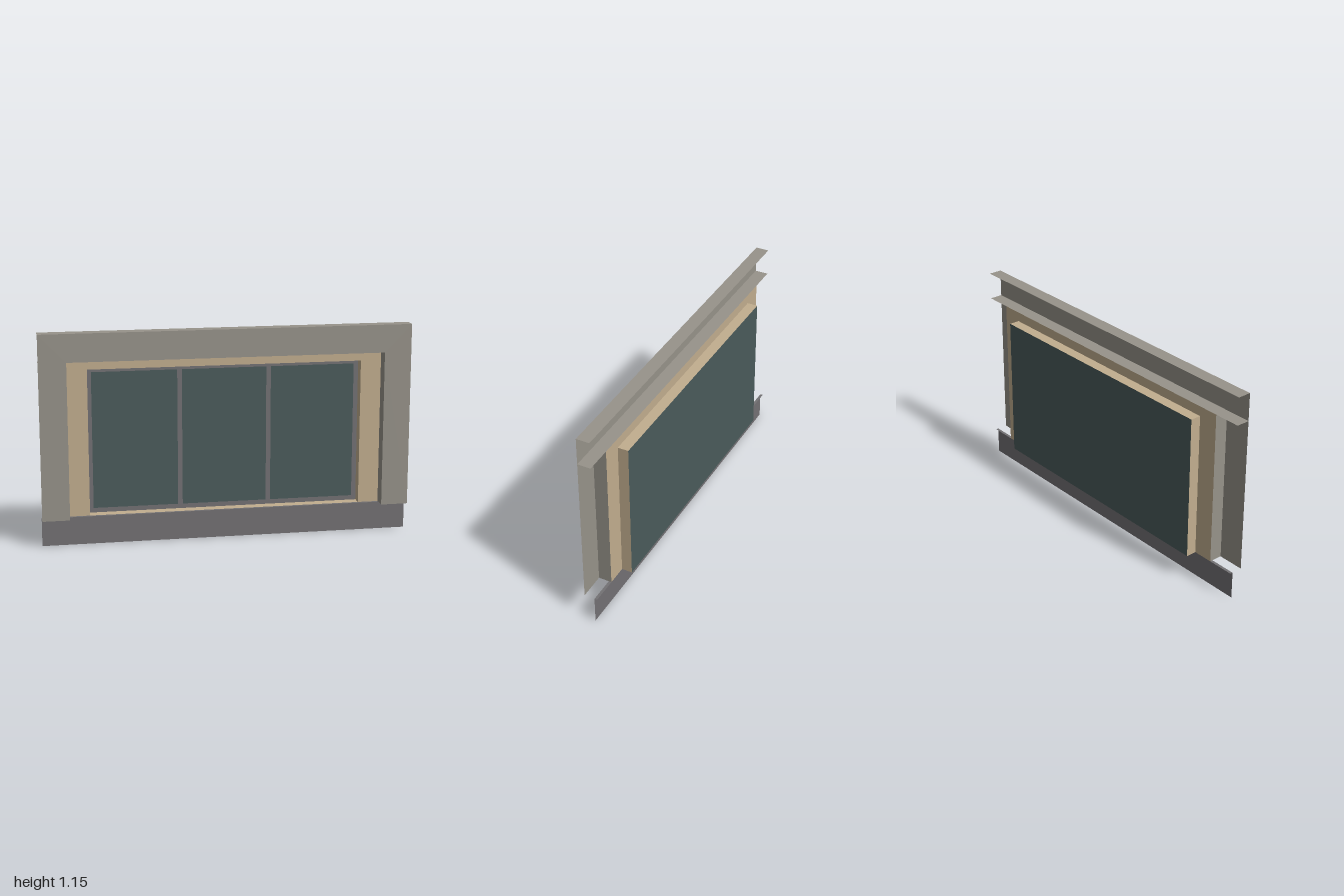
import * as THREE from 'three';

const material = (name, color) => {
  const m = new THREE.MeshStandardMaterial({ color, side: THREE.DoubleSide });
  m.name = name;
  return m;
};

export function createModel() {
  const group = new THREE.Group();
  const wall = material('warm grey wall', 0x97938a);
  const lining = material('beige lining', 0xc2ae8f);
  const trim = material('dark grey trim', 0x737174);
  const glass = material('window glass', 0x4a5b5b);

  // Depth planes, heights and half widths
  const front = 0.0655, mid = -0.0075, back = -0.0655, baseZ = 0.008;
  const sill = 0.152, head = 1.0, top = 1.151, paneTop = 0.947;
  const outer = 1, opening = 0.853, pane = 0.741;

  const add = (name, geometry, mat) => {
    const mesh = new THREE.Mesh(geometry, mat);
    mesh.name = name;
    group.add(mesh);
    return mesh;
  };

  // Upright sheet in the xy plane with an outline and optional holes
  const outline = (pts) => pts.map(([x, y]) => new THREE.Vector2(x, y));
  const rect = (x0, x1, y0, y1) => [[x0, y0], [x1, y0], [x1, y1], [x0, y1]];
  const sheet = (name, pts, z, mat, holes = []) => {
    const shape = new THREE.Shape(outline(pts));
    shape.holes = holes.map((h) => new THREE.Path(outline(h).reverse()));
    return add(name, new THREE.ShapeGeometry(shape).translate(0, 0, z), mat);
  };

  // Portal outline: two legs joined by a header
  const portal = (w, h, iw, ih) => [
    [-w, sill], [-iw, sill], [-iw, ih], [iw, ih],
    [iw, sill], [w, sill], [w, h], [-w, h],
  ];

  // Level sheet facing up
  const ledge = (name, halfWidth, y, z0, z1, mat) => add(name,
    new THREE.PlaneGeometry(halfWidth * 2, z0 - z1)
      .rotateX(-Math.PI / 2).translate(0, y, (z0 + z1) / 2), mat);

  // Mirrored pair of reveals, each facing the middle
  const reveals = (name, x, y1, z0, z1, mat) => {
    for (const side of [-1, 1]) {
      add(name + (side > 0 ? 'Left' : 'Right'),
        new THREE.PlaneGeometry(z0 - z1, y1 - sill)
          .rotateY(-side * Math.PI / 2)
          .translate(side * x, (sill + y1) / 2, (z0 + z1) / 2), mat);
    }
  };

  // Outer wall surround
  sheet('wallFace', portal(outer, top, opening, head), front, wall);
  ledge('wallTop', outer, top, front, mid, wall);
  ledge('wallSoffit', outer, head, front, mid, wall);
  reveals('wallReveal', opening, head, front, mid, wall);

  // Beige inner surround and deep window recess
  sheet('liningFace', portal(opening, head, pane, paneTop), mid, lining);
  ledge('liningTop', pane, paneTop, mid, back, lining);
  ledge('liningSill', pane, sill, mid, back, lining);
  reveals('liningReveal', pane, paneTop, mid, back, lining);

  // Base panel and its narrow ledge
  sheet('basePanel', rect(-outer, outer, 0, sill), baseZ, trim);
  ledge('baseLedge', outer, sill, baseZ, mid, trim);

  // Glass with a thin three-bay frame in front
  sheet('glassPane', rect(-pane, pane, sill, paneTop), back, glass);
  const bar = 0.025, bay = (pane * 2 - bar) / 3;
  const bays = [0, 1, 2].map((i) => {
    const x = -pane + bar + i * bay;
    return rect(x, x + bay - bar, sill + bar, paneTop - bar);
  });
  sheet('windowFrame', rect(-pane, pane, sill, paneTop), back + 0.002, trim, bays);

  return group;
}
